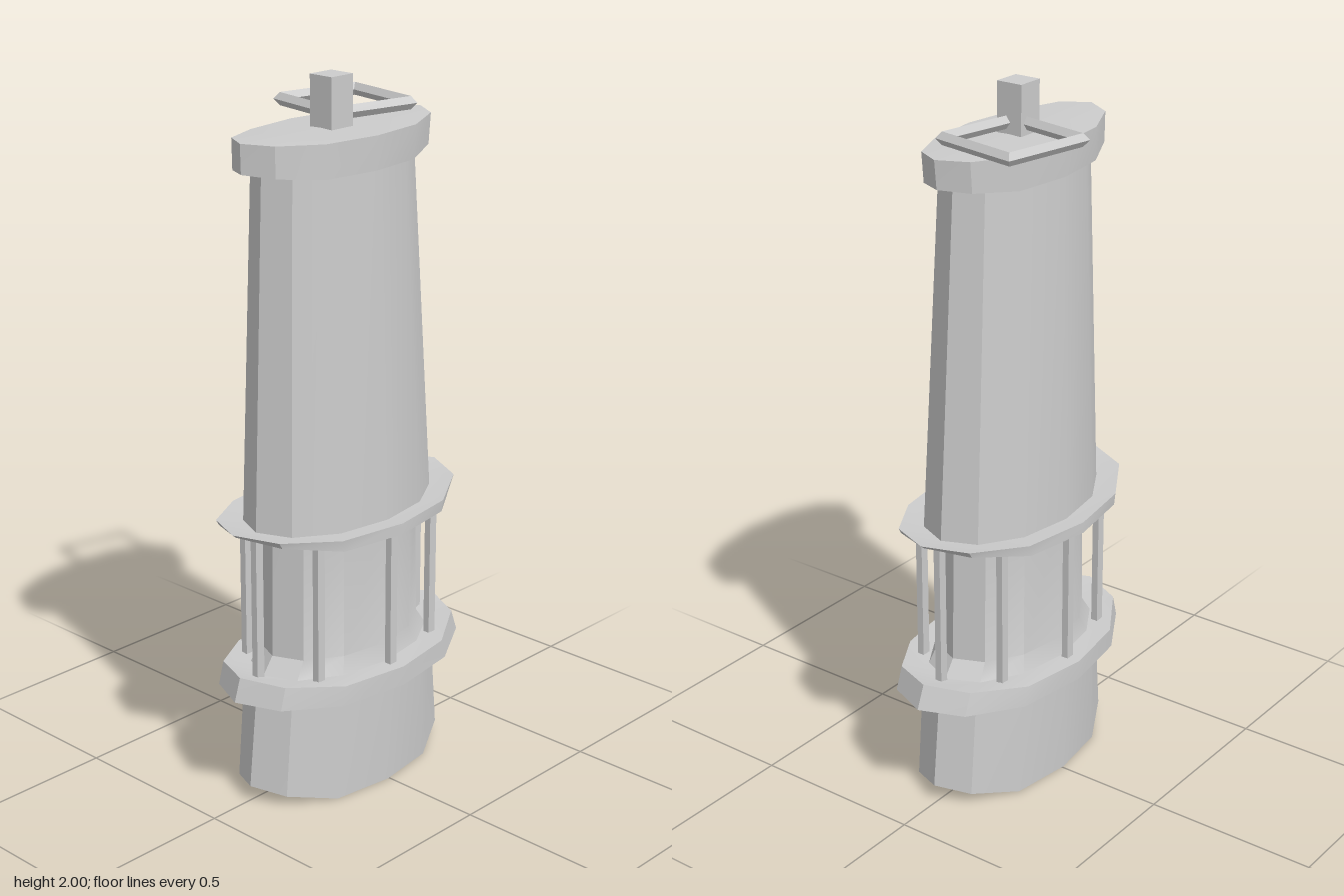
import * as THREE from 'three';
import { toCreasedNormals } from 'three/addons/utils/BufferGeometryUtils.js';

const SIDES = 12;
const CZ = 0.008; // z of the lantern's axis
const material = new THREE.MeshStandardMaterial({ color: 0xcccccc });

// Solid through twelve-sided oval rings, bottom to top: [y, rx, rz, cx, lift].
// lift raises the two narrow ends of a ring.
function loft(rings) {
  const pos = [];
  const idx = [];
  for (const [y, rx, rz, cx = 0, lift = 0] of rings) {
    for (let j = 0; j < SIDES; j++) {
      const a = (j / SIDES) * Math.PI * 2;
      const end = Math.max(0, (Math.cos(a) ** 2 - 0.25) / 0.75);
      pos.push(cx + rx * Math.cos(a), y + lift * end, CZ + rz * Math.sin(a));
    }
  }
  for (let i = 0; i < rings.length - 1; i++) {
    for (let j = 0; j < SIDES; j++) {
      const a = i * SIDES + j;
      const b = i * SIDES + ((j + 1) % SIDES);
      idx.push(a, a + SIDES, b, b, a + SIDES, b + SIDES);
    }
  }
  // end caps
  const last = rings.length - 1;
  for (const i of [0, last]) {
    const [y, , , cx = 0, lift = 0] = rings[i];
    const centre = pos.length / 3;
    pos.push(cx, y + lift * 0.4, CZ);
    for (let j = 0; j < SIDES; j++) {
      const a = i * SIDES + j;
      const b = i * SIDES + ((j + 1) % SIDES);
      if (i === 0) idx.push(centre, a, b);
      else idx.push(centre, b, a);
    }
  }
  const geo = new THREE.BufferGeometry();
  geo.setAttribute('position', new THREE.Float32BufferAttribute(pos, 3));
  geo.setIndex(idx);
  return toCreasedNormals(geo, 0.5);
}

export function createModel() {
  const group = new THREE.Group();
  const add = (name, geo, x = 0, y = 0, z = 0, parent = group) => {
    const mesh = new THREE.Mesh(geo, material);
    mesh.name = name;
    mesh.position.set(x, y, z);
    parent.add(mesh);
    return mesh;
  };

  // Fuel base with its underside arched at the ends
  add('base', loft([
    [0, 0.362, 0.19, -0.006, 0.05],
    [0.33, 0.333, 0.19, -0.006],
  ]));

  // Collar around the top of the base
  add('lowerCollar', loft([
    [0.312, 0.33, 0.19, 0, 0.01],
    [0.315, 0.422, 0.243, 0, 0.015],
    [0.372, 0.398, 0.243, -0.003, 0.025],
    [0.372, 0.31, 0.19, -0.005],
  ]));

  // Glass chamber, flared at the foot
  add('glassChamber', loft([
    [0.365, 0.31, 0.185, -0.006],
    [0.42, 0.27, 0.168, -0.006],
    [0.785, 0.262, 0.165, -0.008],
  ]));

  // Guard posts around the chamber
  const posts = new THREE.Group();
  posts.name = 'guardPosts';
  group.add(posts);
  for (let i = 0; i < 8; i++) {
    const a = (i / 8) * Math.PI * 2;
    add('guardPost', new THREE.BoxGeometry(0.026, 0.43, 0.02),
      -0.007 + 0.323 * Math.cos(a), 0.575, CZ + 0.198 * Math.sin(a), posts);
  }

  // Thin flange, swept up at its ends
  add('upperFlange', loft([
    [0.768, 0.315, 0.19, -0.01, 0.005],
    [0.773, 0.395, 0.243, -0.012, 0.04],
    [0.805, 0.407, 0.243, -0.012, 0.018],
    [0.8, 0.32, 0.186, -0.012, 0.005],
  ]));

  // Tapered bonnet
  add('bonnet', loft([
    [0.79, 0.322, 0.187, -0.011],
    [1.79, 0.268, 0.152, -0.028],
  ]));

  // Overhanging cap
  add('cap', loft([
    [1.768, 0.268, 0.152, -0.028, 0.012],
    [1.768, 0.336, 0.156, -0.031, 0.02],
    [1.86, 0.341, 0.157, -0.028, 0.008],
  ]));

  // Hanger block and the square ring lying beside it
  add('hangerBlock', new THREE.BoxGeometry(0.08, 0.15, 0.078), -0.035, 1.925, 0.006);
  const ring = new THREE.TorusGeometry(0.178, 0.018, 4, 4).rotateX(Math.PI / 2);
  add('carryingRing', toCreasedNormals(ring, 0.5), 0.12, 1.894, -0.091)
    .rotation.y = 0.6;

  return group;
}
